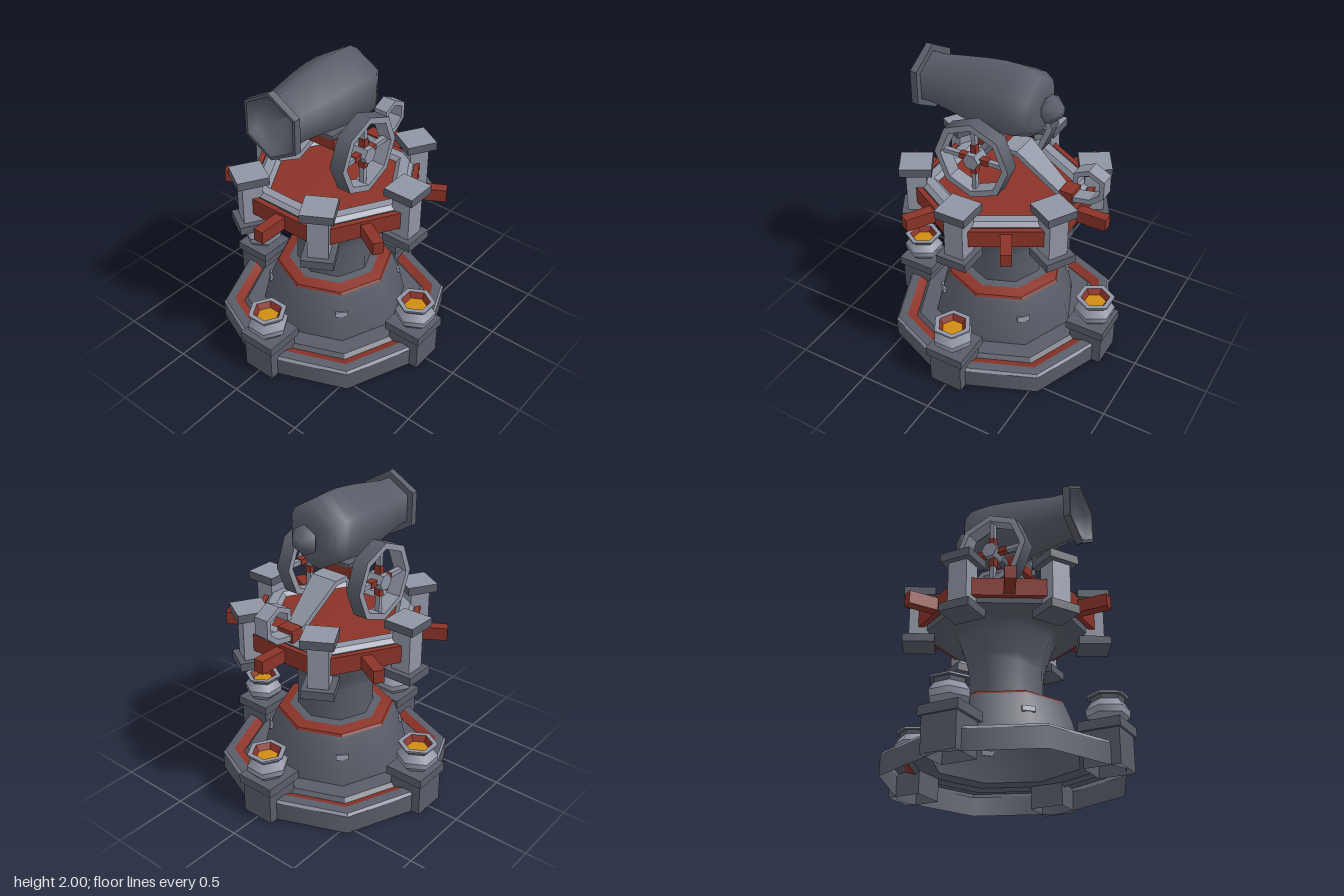
import * as THREE from 'three';
import { toCreasedNormals } from 'three/addons/utils/BufferGeometryUtils.js';

const mat = (name, color) => {
  const m = new THREE.MeshStandardMaterial({ color, side: THREE.DoubleSide });
  m.name = name;
  return m;
};

export function createModel() {
  const dark = mat('dark iron', 0x595d68);
  const light = mat('light steel', 0x9095a4);
  const red = mat('rust red', 0x8a3328);
  const orange = mat('ember orange', 0xd08c12);
  const model = new THREE.Group();
  model.name = 'cannonTower';

  const add = (parent, name, geo, material, x = 0, y = 0, z = 0) => {
    const m = new THREE.Mesh(geo, material);
    m.name = name;
    m.position.set(x, y, z);
    parent.add(m);
    return m;
  };
  const group = (parent, name, angle = 0) => {
    const g = new THREE.Group();
    g.name = name;
    g.rotation.y = angle;
    parent.add(g);
    return g;
  };
  const box = (w, h, d) => new THREE.BoxGeometry(w, h, d);
  // profile of [radius, height] pairs turned with few sides
  const turned = (profile, sides, smooth = false, start = 0) => {
    const g = new THREE.LatheGeometry(profile.map(p => new THREE.Vector2(...p)), sides, start);
    return smooth ? g : toCreasedNormals(g, 0.3);
  };
  const lidFaces = [dark, dark, light, dark, dark, dark];

  // Octagonal base with a light edge and red-lined groove, open underneath
  add(model, 'baseWall', turned([[0.775, 0], [0.775, 0.128]], 8, true), dark);
  add(model, 'baseEdge', turned([[0.775, 0.128], [0.762, 0.146]], 8), light);
  add(model, 'baseRim', turned([[0.762, 0.146], [0.74, 0.15], [0.7, 0.15]], 8), dark);
  add(model, 'baseRedGroove', turned([[0.7, 0.15], [0.635, 0.125]], 8), red);
  add(model, 'baseFloor', turned([[0.635, 0.125], [0.61, 0.15], [0.48, 0.15]], 8), dark);

  // Dome, red shoulder and flared column
  add(model, 'dome', turned([[0.49, 0.15], [0.485, 0.18], [0.45, 0.33], [0.405, 0.445], [0.395, 0.465]], 8, true), dark);
  for (let i = 0; i < 4; i++) {
    const g = group(model, 'domeStud', (i + 0.5) * Math.PI / 2);
    add(g, 'studPlate', box(0.08, 0.035, 0.03), light, 0, 0.34, 0.434).rotation.x = -0.25;
  }
  add(model, 'domeRedShoulder', turned([[0.395, 0.465], [0.385, 0.48], [0.31, 0.497]], 8), red);
  add(model, 'columnFoot', turned([[0.31, 0.497], [0.255, 0.505]], 8), dark);
  add(model, 'column', turned([[0.255, 0.5], [0.25, 0.72], [0.265, 0.78], [0.31, 0.91], [0.345, 0.98], [0.46, 1.0]], 8, true), dark);

  // Four buttresses with fire pots
  for (let i = 0; i < 4; i++) {
    const g = group(model, 'buttress', i * Math.PI / 2);
    const body = new THREE.CylinderGeometry(0.161, 0.161, 0.22, 4, 1, true);
    body.rotateY(Math.PI / 4);
    add(g, 'buttressBody', toCreasedNormals(body, 0.3), dark, 0, 0.11, 0.672);
    add(g, 'buttressCap', box(0.265, 0.06, 0.265), dark, 0, 0.25, 0.668);
    const pot = group(g, 'firePot');
    pot.position.set(0, 0, 0.678);
    const a = Math.PI / 2;
    const bowl = [[0.085, 0.28], [0.13, 0.325], [0.135, 0.365], [0.1, 0.415]];
    for (let j = 0; j < 3; j++) add(pot, 'potBowlBand', turned(bowl.slice(j, j + 2), 6, true, a), light);
    add(pot, 'potNeck', turned([[0.1, 0.415], [0.105, 0.44], [0.128, 0.442]], 6, false, a), dark);
    add(pot, 'potRim', turned([[0.128, 0.442], [0.128, 0.454], [0.095, 0.454]], 6, false, a), light);
    add(pot, 'potLining', turned([[0.095, 0.454], [0.072, 0.415]], 6, false, a), red);
    add(pot, 'embers', turned([[0.072, 0.415], [0, 0.418]], 6, false, a), orange);
  }

  // Hexagonal platform
  const hex = Math.PI / 2;
  add(model, 'platformSide', turned([[0.35, 0.99], [0.55, 1.0], [0.56, 1.145]], 6, false, hex), dark);
  add(model, 'platformRim', turned([[0.56, 1.145], [0.53, 1.17], [0.46, 1.17], [0.43, 1.145]], 6, false, hex), light);
  add(model, 'platformFloor', turned([[0.43, 1.145], [0, 1.155]], 6, false, hex), red);
  for (let i = 0; i < 6; i++) {
    const p = group(model, 'platformPost', i * Math.PI / 3);
    add(p, 'postShaft', box(0.13, 0.29, 0.13), light, 0.565, 1.105, 0);
    add(p, 'postFoot', box(0.205, 0.055, 0.205), dark, 0.565, 0.938, 0);
    add(p, 'postLid', box(0.205, 0.055, 0.205), lidFaces, 0.565, 1.273, 0);
    const b = group(model, 'platformBeam', (i + 0.5) * Math.PI / 3);
    add(b, 'beam', box(0.035, 0.115, 0.46), red, 0.508, 1.085, 0);
    add(b, 'beamEnd', box(0.2, 0.085, 0.07), red, 0.62, 1.08, 0);
  }

  // Gun carriage and barrel
  const gun = group(model, 'gun');
  gun.position.x = -0.012;
  const barrel = group(gun, 'barrel');
  barrel.position.y = 1.758;
  barrel.rotation.x = Math.PI / 2;
  add(barrel, 'barrelBody', turned([[0, -0.265], [0.09, -0.263], [0.15, -0.255], [0.195, -0.225], [0.236, -0.16],
    [0.242, -0.09], [0.242, 0], [0.228, 0.13], [0.2, 0.3], [0.177, 0.43], [0.175, 0.525]], 6, true), dark);
  add(barrel, 'muzzleRing', turned([[0.175, 0.52], [0.22, 0.52], [0.22, 0.567], [0.2, 0.567]], 6), dark);
  add(barrel, 'bore', turned([[0.2, 0.567], [0.168, 0.53], [0.13, 0.47], [0, 0.41]], 6, true), dark);
  add(barrel, 'knob', turned([[0, -0.38], [0.035, -0.378], [0.1, -0.305], [0.06, -0.26]], 6, true), dark);

  add(gun, 'cradle', box(0.235, 0.07, 0.16), red, 0, 1.475, 0.06);
  add(gun, 'cradleTop', box(0.22, 0.03, 0.16), dark, 0, 1.52, 0.06);
  add(gun, 'axle', box(0.56, 0.045, 0.045), dark, 0, 1.455, 0.06);

  // Wheels: eight-sided hoops with four half-red spokes
  for (const s of [-1, 1]) {
    const w = group(gun, 'wheel');
    w.position.set(s * 0.282, 1.455, 0.06);
    const rim = (profile, smooth) => {
      const g = turned(profile, 8, smooth);
      g.rotateZ(Math.PI / 2);
      return g;
    };
    add(w, 'wheelTread', rim([[0.258, -0.05], [0.258, 0.05]], true), dark);
    add(w, 'wheelFaces', rim([[0.258, 0.05], [0.216, 0.05], [0.216, -0.05], [0.258, -0.05]], false), light);
    const hub = new THREE.CylinderGeometry(0.055, 0.055, 0.11, 6);
    hub.rotateZ(Math.PI / 2);
    add(w, 'hub', toCreasedNormals(hub, 0.3), light);
    for (let i = 0; i < 4; i++) {
      const spoke = group(w, 'spoke');
      spoke.rotation.x = i * Math.PI / 2;
      add(spoke, 'spokeInner', box(0.045, 0.06, 0.038), red, 0, 0.072, 0);
      add(spoke, 'spokeOuter', box(0.035, 0.13, 0.028), light, 0, 0.165, 0);
    }
  }

  // Bar of changing width swept along [z, y, width] points
  const sweptBar = (path, t) => {
    const pos = [], idx = [], n = path.length;
    path.forEach(([z, y, w], i) => {
      const a = path[Math.max(i - 1, 0)], b = path[Math.min(i + 1, n - 1)];
      const l = Math.hypot(b[0] - a[0], b[1] - a[1]);
      const nz = -(b[1] - a[1]) / l * t / 2, ny = (b[0] - a[0]) / l * t / 2;
      pos.push(-w / 2, y + ny, z + nz, w / 2, y + ny, z + nz, w / 2, y - ny, z - nz, -w / 2, y - ny, z - nz);
    });
    for (let i = 0; i < n - 1; i++) for (let j = 0; j < 4; j++) {
      const a = i * 4 + j, b = i * 4 + (j + 1) % 4;
      idx.push(a, a + 4, b, b, a + 4, b + 4);
    }
    const e = n * 4 - 4;
    idx.push(0, 1, 2, 0, 2, 3, e, e + 2, e + 1, e, e + 3, e + 2);
    const g = new THREE.BufferGeometry();
    g.setAttribute('position', new THREE.Float32BufferAttribute(pos, 3));
    g.setIndex(idx);
    return toCreasedNormals(g, 0.3);
  };
  // Trail with curled end and red binding
  add(gun, 'trail', sweptBar([[0.1, 1.44, 0.2], [-0.12, 1.44, 0.19], [-0.41, 1.205, 0.11], [-0.5, 1.2, 0.1], [-0.61, 1.22, 0.1],
    [-0.68, 1.28, 0.1], [-0.68, 1.38, 0.1], [-0.59, 1.425, 0.1], [-0.505, 1.385, 0.1], [-0.505, 1.325, 0.1]], 0.035), light);
  add(gun, 'trailBinding', box(0.12, 0.08, 0.09), red, 0, 1.205, -0.45);

  return model;
}
